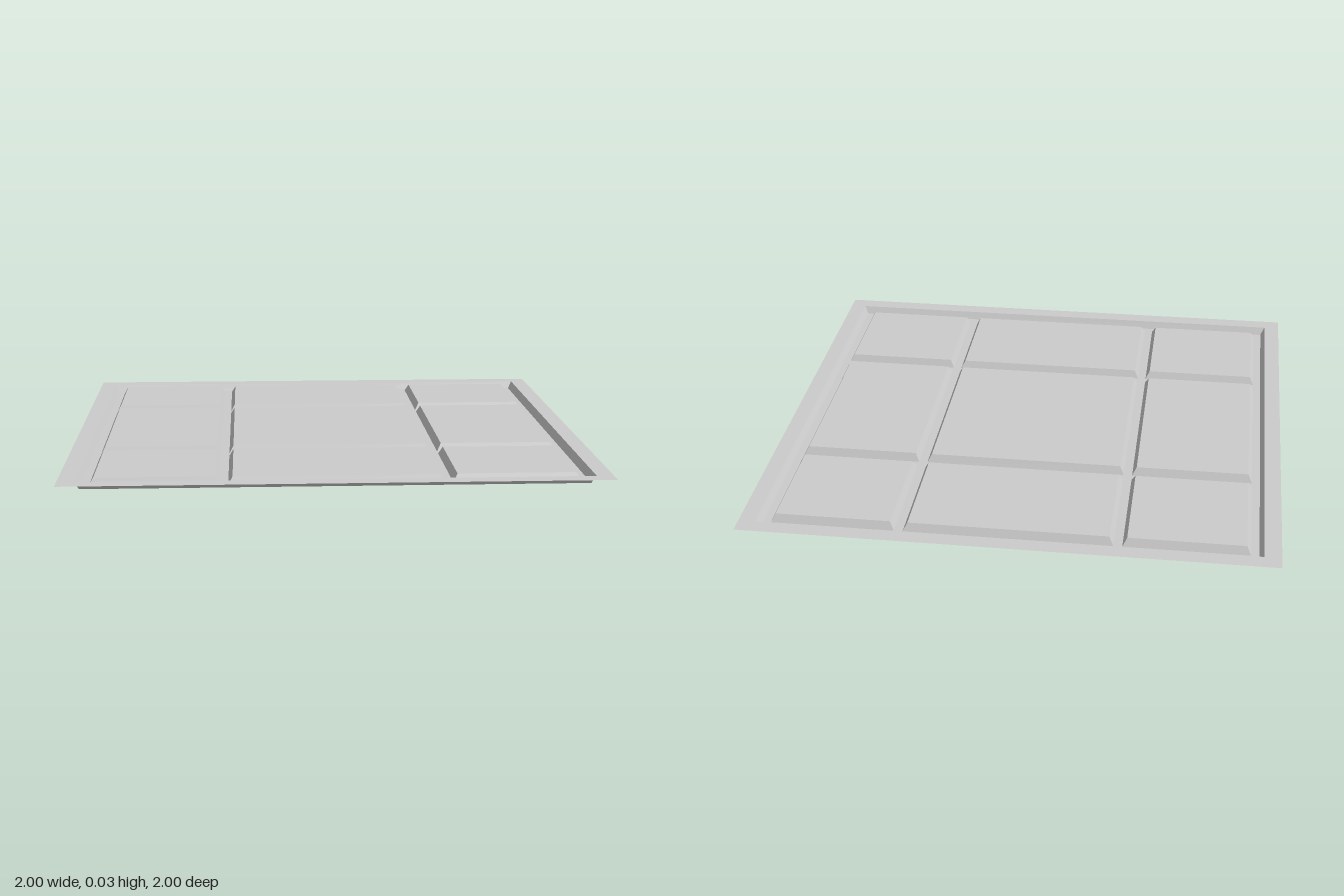
import * as THREE from 'three';

const HEIGHT = 0.03; // depth of the grooves
const BEVEL = 0.016; // run of every sloped wall

const material = new THREE.MeshStandardMaterial({
  color: 0xcccccc, flatShading: true, side: THREE.DoubleSide,
});

// Rectangles are [x0, x1, z0, z1]; corners run anticlockwise seen from above.
const corners = ([x0, x1, z0, z1]) => [[x0, z1], [x1, z1], [x1, z0], [x0, z0]];
const inset = ([x0, x1, z0, z1], d) => [x0 + d, x1 - d, z0 + d, z1 - d];

// Flat horizontal sheet with rectangular holes
function sheet(name, rect, holes, y) {
  const points = (r) => corners(r).map(([x, z]) => new THREE.Vector2(x, -z));
  const shape = new THREE.Shape(points(rect));
  for (const h of holes) shape.holes.push(new THREE.Path(points(h)));
  const geometry = new THREE.ShapeGeometry(shape);
  geometry.rotateX(-Math.PI / 2).translate(0, y, 0);
  const mesh = new THREE.Mesh(geometry, material);
  mesh.name = name;
  return mesh;
}

// Four sloped walls joining one rectangle to another
function walls(name, rectA, yA, rectB, yB) {
  const a = corners(rectA).map(([x, z]) => [x, yA, z]);
  const b = corners(rectB).map(([x, z]) => [x, yB, z]);
  const positions = [];
  for (let i = 0; i < 4; i++) {
    const j = (i + 1) % 4;
    positions.push(...a[i], ...a[j], ...b[j], ...a[i], ...b[j], ...b[i]);
  }
  const geometry = new THREE.BufferGeometry();
  geometry.setAttribute('position', new THREE.Float32BufferAttribute(positions, 3));
  geometry.computeVertexNormals();
  const mesh = new THREE.Mesh(geometry, material);
  mesh.name = name;
  return mesh;
}

export function createModel() {
  const model = new THREE.Group();
  model.name = 'panelledTile';

  // Outer border and the slope down to the groove floor
  const rim = [-0.937, 0.937, -0.937, 0.937];
  const floor = inset(rim, BEVEL);
  model.add(sheet('border', [-1, 1, -1, 1], [rim], HEIGHT));
  model.add(walls('borderSlope', rim, HEIGHT, floor, 0));

  // Three by three raised panels, with wide centre spans
  const spans = [[-0.891, -0.424], [-0.391, 0.391], [0.424, 0.891]];
  const feet = [];
  for (const sx of spans) {
    for (const sz of spans) {
      const foot = [...sx, ...sz];
      const top = inset(foot, BEVEL);
      const panel = new THREE.Group();
      panel.name = 'panel';
      panel.add(walls('panelSlope', foot, 0, top, HEIGHT), sheet('panelTop', top, [], HEIGHT));
      model.add(panel);
      feet.push(foot);
    }
  }

  // Groove floor running between the panels
  model.add(sheet('grooveFloor', floor, feet, 0));
  return model;
}
